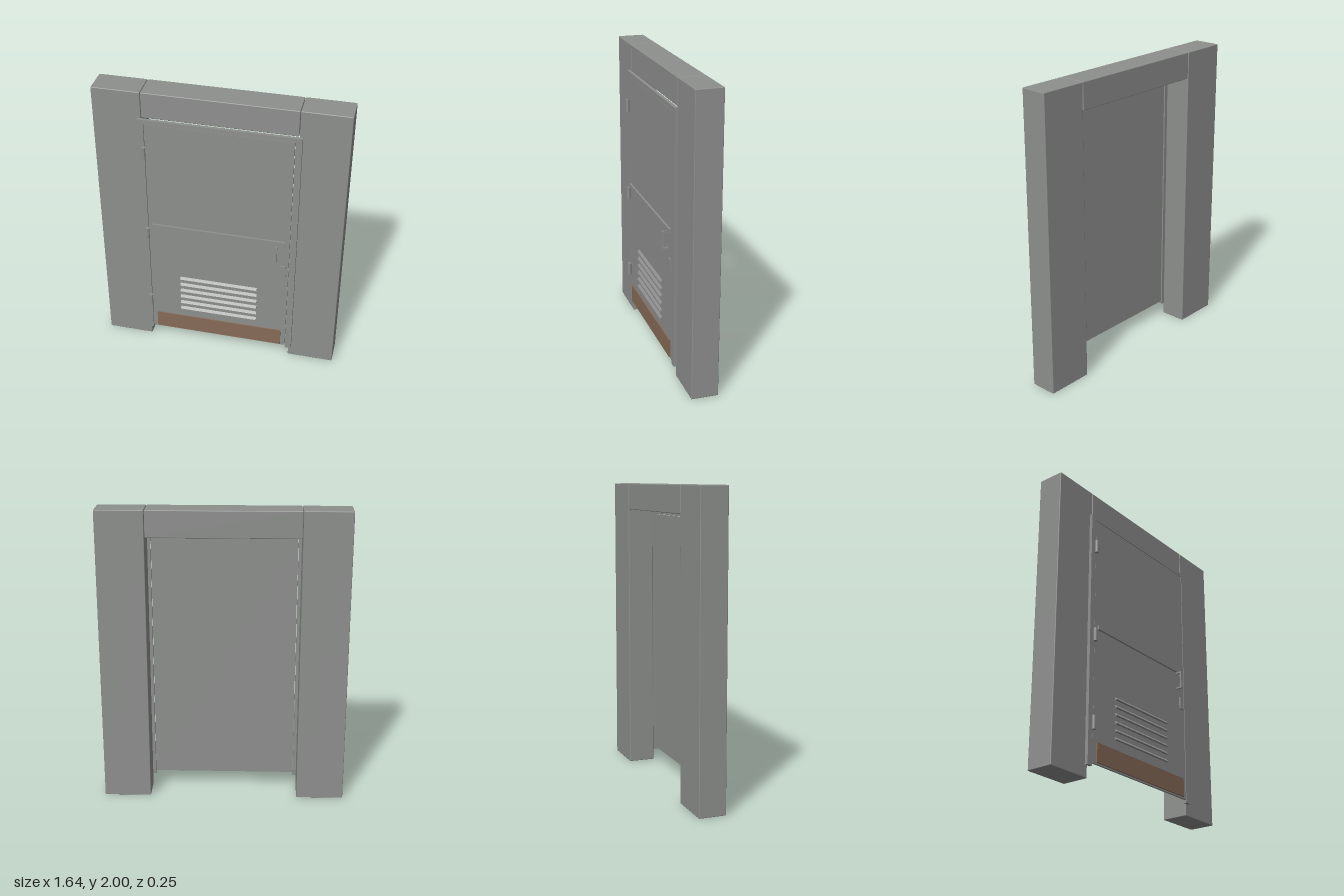
import * as THREE from 'three';
import { RoundedBoxGeometry } from 'three/addons/geometries/RoundedBoxGeometry.js';

export function createModel() {
  const group = new THREE.Group();
  const grey = new THREE.MeshStandardMaterial({ color: 0x8e908e });
  grey.name = 'concrete grey';
  const brown = new THREE.MeshStandardMaterial({ color: 0x866b57 });
  brown.name = 'kick plate brown';

  const add = (name, geometry, material = grey) => {
    const mesh = new THREE.Mesh(geometry, material);
    mesh.name = name;
    group.add(mesh);
    return mesh;
  };
  // Box given by its limits on each axis, optionally with softened edges
  const box = (name, [x0, x1], [y0, y1], [z0, z1], material = grey, bevel = 0) => {
    const size = [x1 - x0, y1 - y0, z1 - z0];
    const geometry = bevel
      ? new RoundedBoxGeometry(...size, 2, bevel)
      : new THREE.BoxGeometry(...size);
    const mesh = add(name, geometry, material);
    mesh.position.set((x0 + x1) / 2, (y0 + y1) / 2, (z0 + z1) / 2);
    return mesh;
  };

  // Wall surround: two piers and a lintel
  const wallZ = [-0.122, 0.058];
  box('rightPier', [-0.82, -0.503], [0, 2], wallZ, grey, 0.005);
  box('leftPier', [0.503, 0.82], [0, 2], wallZ, grey, 0.005);
  box('lintel', [-0.5, 0.5], [1.822, 2], wallZ, grey, 0.005);

  // Door frame, open at the bottom
  const frameZ = [0.058, 0.08];
  box('rightJamb', [-0.525, -0.483], [0.08, 1.82], frameZ);
  box('leftJamb', [0.483, 0.525], [0.08, 1.82], frameZ);
  box('frameHead', [-0.483, 0.483], [1.79, 1.82], frameZ);

  // Door leaf
  box('doorPanel', [-0.48, 0.48], [0.1, 1.787], [0.065, 0.078]);
  box('crossbar', [-0.453, 0.453], [0.99, 1.02], [0.076, 0.092]);
  box('kickPlate', [-0.447, 0.447], [0.11, 0.235], [0.078, 0.087], brown);
  box('lockPlate', [0.427, 0.462], [0.73, 0.815], [0.076, 0.088]);

  // Hinge barrels
  for (const y of [0.35, 0.94, 1.58]) {
    const hinge = add('hinge', new THREE.CylinderGeometry(0.013, 0.013, 0.09, 12));
    hinge.position.set(-0.487, y, 0.091);
  }

  // Pull handle on two standoffs
  box('handleGrip', [0.392, 0.404], [0.865, 0.99], [0.112, 0.124]);
  for (const y of [0.865, 0.978])
    box('handleStandoff', [0.392, 0.404], [y, y + 0.012], [0.076, 0.113]);

  // Louvres: sloping wedge slats
  const wedge = new THREE.Shape();
  wedge.moveTo(0, -0.01);
  wedge.lineTo(0.016, -0.01);
  wedge.lineTo(0.016, -0.005);
  wedge.lineTo(0, 0.011);
  wedge.closePath();
  const slat = new THREE.ExtrudeGeometry(wedge, { depth: 0.54, bevelEnabled: false });
  slat.rotateY(-Math.PI / 2); // shape x becomes z, depth runs along -x
  slat.translate(0.27, 0, 0);
  for (let i = 0; i < 6; i++)
    add('louvre', slat).position.set(0, 0.312 + i * 0.0535, 0.077);

  return group;
}
